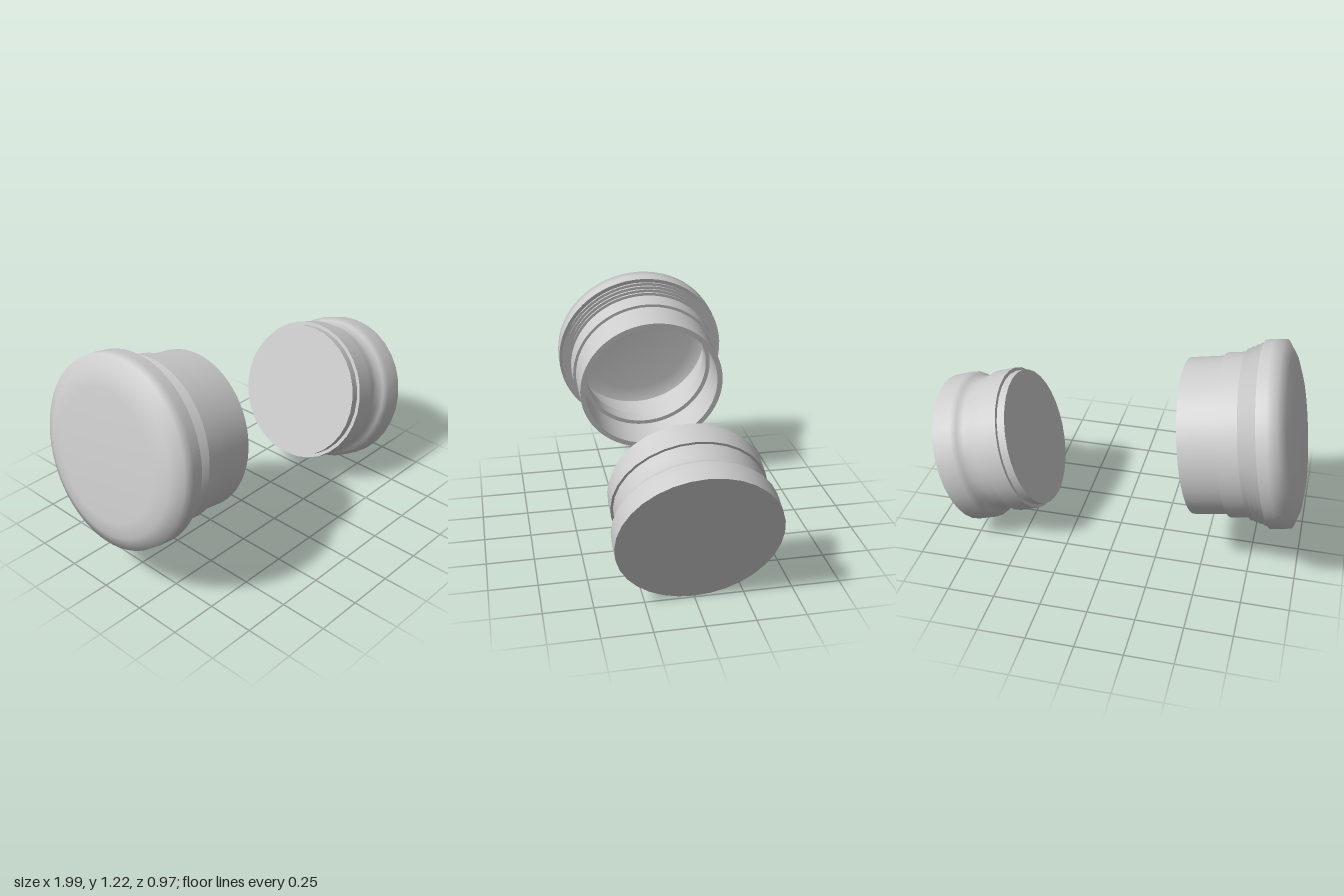
import * as THREE from 'three';
import { mergeGeometries } from 'three/addons/utils/BufferGeometryUtils.js';

// Revolve several [radius, height] runs; shading is smooth inside a run and sharp between runs
function revolve(runs, sides) {
  return mergeGeometries(runs.map(run =>
    new THREE.LatheGeometry(run.map(([r, h]) => new THREE.Vector2(r, h)), sides)));
}

export function createModel() {
  const group = new THREE.Group();
  const grey = new THREE.MeshStandardMaterial({ color: 0xcccccc, side: THREE.DoubleSide });
  grey.name = 'lightGrey';

  function addPart(name, runs, sides, x, y, tilt) {
    const mesh = new THREE.Mesh(revolve(runs, sides), grey);
    mesh.name = name;
    mesh.position.set(x, y, 0);
    mesh.rotation.z = tilt;
    group.add(mesh);
  }

  // Hollow cap: sleeve, collar, ridges, domed head, then the inside
  addPart('sleeve', [
    [[0.381, 0], [0.411, 0]],
    [[0.411, 0], [0.412, 0.195]],
    [[0.412, 0.195], [0.428, 0.195]],
    [[0.428, 0.195], [0.428, 0.285]],
    [[0.428, 0.285], [0.428, 0.305]],
  ], 64, -0.395, 0.66, 1.4);

  // Saw-tooth ridges growing towards the head
  const ridges = [];
  for (let i = 0; i < 4; i++) {
    const h = 0.305 + i * 0.024, peak = 0.444 + i * 0.009;
    ridges.push([[peak - 0.016, h], [peak, h]], [[peak, h], [peak - 0.007, h + 0.024]]);
  }
  addPart('ridges', ridges, 64, -0.395, 0.66, 1.4);

  addPart('domedHead', [
    [[0.464, 0.401], [0.486, 0.399]],
    [[0.486, 0.399], [0.487, 0.45], [0.483, 0.503], [0.415, 0.537], [0.33, 0.557], [0, 0.558]],
  ], 64, -0.395, 0.66, 1.4);

  addPart('capInside', [
    [[0, 0.53], [0.33, 0.53], [0.41, 0.5]],
    [[0.41, 0.5], [0.41, 0.29]],
    [[0.41, 0.29], [0.357, 0.285]],
    [[0.357, 0.285], [0.357, 0.2]],
    [[0.357, 0.2], [0.381, 0.2]],
    [[0.381, 0.2], [0.381, 0]],
  ], 64, -0.395, 0.66, 1.4);

  // Solid plug with a waist, a band and a narrower tip
  addPart('plug', [
    [[0, 0], [0.41, 0]],
    [[0.41, 0], [0.411, 0.108], [0.392, 0.135], [0.371, 0.165], [0.376, 0.21], [0.378, 0.26]],
    [[0.378, 0.26], [0.391, 0.26]],
    [[0.391, 0.26], [0.391, 0.367]],
    [[0.391, 0.367], [0.372, 0.367]],
    [[0.372, 0.367], [0.372, 0.41]],
    [[0.372, 0.41], [0, 0.41]],
  ], 32, 0.8675, 0.395, 1.255);

  return group;
}
